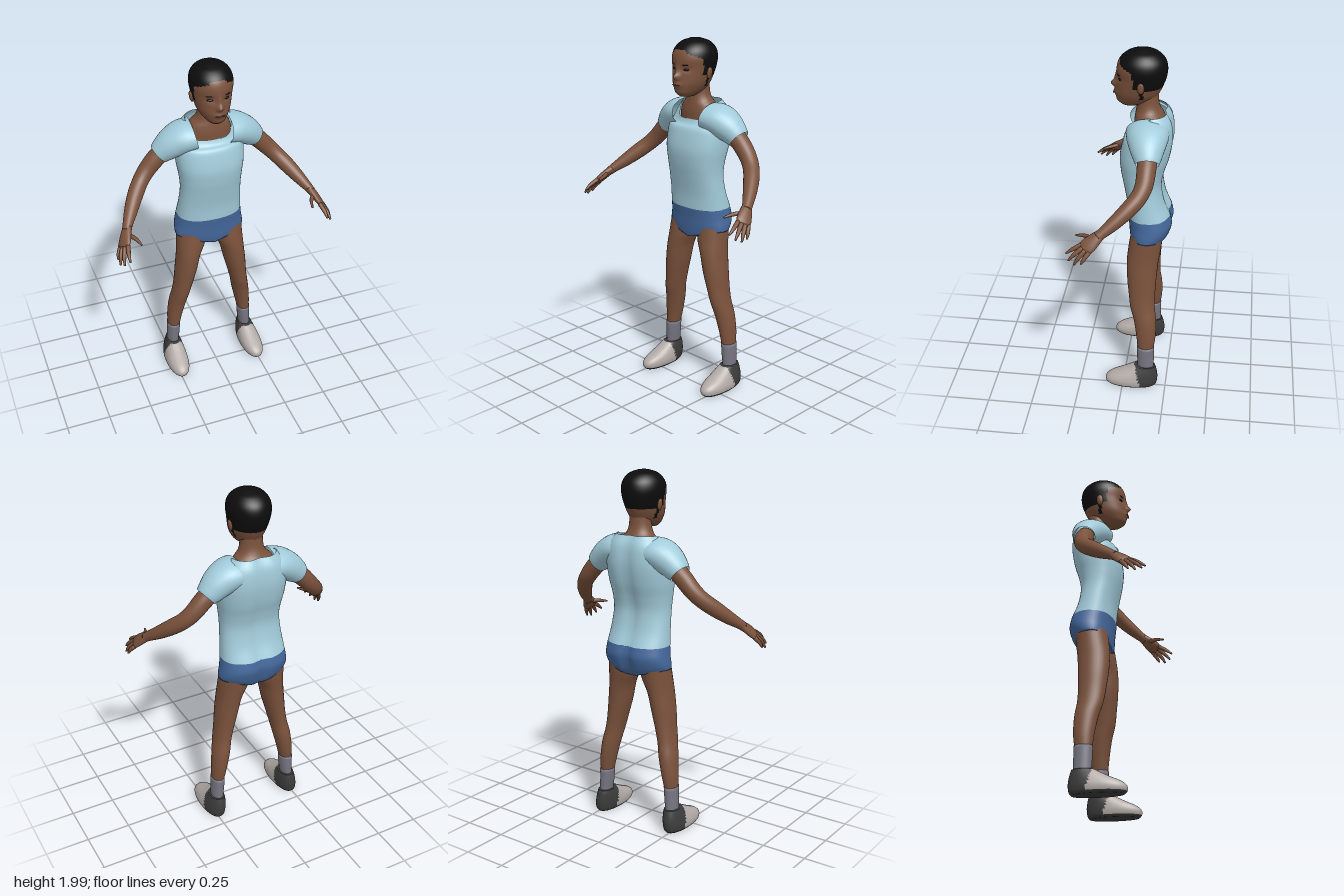
import * as THREE from 'three';

const V = (x, y, z) => new THREE.Vector3(x, y, z);
const mat = (name, color, side = THREE.FrontSide) => {
  const m = new THREE.MeshStandardMaterial({ color, side });
  m.name = name;
  return m;
};
const smooth = (a, b, x) => THREE.MathUtils.smoothstep(x, a, b);
const bump = (x, w) => Math.exp(-(x * x) / (w * w));

// Smooth skin through elliptical sections [x, y, z, sideRadius, refRadius].
// axis: fixed ring normal (else follows the path); ref: direction of refRadius.
// pick(centre) chooses the material index of a face; deform(v) moves a vertex.
function sweep(rows, { axis, ref = V(0, 0, 1), seg = 28, steps = 24, sq = 1, capStart, capEnd, deform, pick } = {}) {
  const path = new THREE.CatmullRomCurve3(rows.map(r => V(r[0], r[1], r[2])), false, 'catmullrom', 0.5);
  const size = new THREE.CatmullRomCurve3(rows.map(r => V(r[3], r[4], 0)), false, 'catmullrom', 0.5);
  const rings = [];
  for (let j = 0; j <= steps; j++) rings.push([j / steps, 1]);
  if (capStart) rings.unshift([0, 0]);
  if (capEnd) rings.push([1, 0]);
  const soft = c => Math.sign(c) * Math.abs(c) ** sq;
  const verts = [];
  for (const [t, k] of rings) {
    const c = path.getPoint(t), r = size.getPoint(t);
    const T = axis || path.getTangent(t);
    const N = ref.clone().addScaledVector(T, -ref.dot(T)).normalize();
    const B = T.clone().cross(N);
    for (let i = 0; i < seg; i++) {
      const a = (i / seg) * Math.PI * 2;
      const v = c.clone().addScaledVector(B, soft(Math.sin(a)) * r.x * k).addScaledVector(N, soft(Math.cos(a)) * r.y * k);
      if (deform) deform(v);
      verts.push(v);
    }
  }
  const lists = [];
  for (let j = 0; j < rings.length - 1; j++) for (let i = 0; i < seg; i++) {
    const n = (i + 1) % seg, a = j * seg + i, b = j * seg + n, c = b + seg, d = a + seg;
    const mid = verts[a].clone().add(verts[b]).add(verts[c]).add(verts[d]).multiplyScalar(0.25);
    const m = pick ? pick(mid) : 0;
    (lists[m] ||= []).push(a, b, c, a, c, d);
  }
  const g = new THREE.BufferGeometry().setFromPoints(verts);
  g.setIndex(lists.flat());
  let start = 0;
  if (pick) lists.forEach((l, m) => { g.addGroup(start, l.length, m); start += l.length; });
  g.computeVertexNormals();
  return g;
}

// Upright form from level sections [y, centreX, halfWidth, frontZ, backZ].
const upright = (rows, opts = {}) => sweep(
  rows.map(([y, x, w, f, b]) => [x, y, (f + b) / 2, w, (f - b) / 2]), { axis: V(0, 1, 0), ...opts });

export function createModel() {
  const model = new THREE.Group();
  const skin = mat('skin brown', 0x7b523c), shirt = mat('shirt light blue', 0xa2cbda, THREE.DoubleSide);
  const blue = mat('shorts blue', 0x44689c, THREE.DoubleSide), hair = mat('hair black', 0x0d0d0d);
  const sock = mat('sock grey', 0x777682), shoe = mat('shoe light grey', 0xb3aba7);
  const dark = mat('shoe dark grey', 0x3b3b3c), lip = mat('lip brown', 0x5f3a2d);
  const eye = mat('eye dark', 0x17110f);
  const add = (name, geo, m) => {
    const mesh = new THREE.Mesh(geo, m);
    mesh.name = name;
    model.add(mesh);
    return mesh;
  };
  const blob = (name, m, p, s) => {
    const b = add(name, new THREE.SphereGeometry(1, 20, 14), m);
    b.position.set(...p);
    b.scale.set(...s);
    return b;
  };

  // Shirt body, with a spine groove and a scooped neckline
  add('shirtBody', upright([
    [1.065, 0, .186, -.003, -.247], [1.15, 0, .178, .002, -.213], [1.25, 0, .171, .02, -.197],
    [1.33, 0, .176, .035, -.21], [1.41, 0, .187, .04, -.234], [1.5, 0, .19, .022, -.25],
    [1.57, 0, .18, .0, -.25], [1.62, 0, .162, -.015, -.24], [1.665, 0, .125, -.03, -.215],
  ], {
    seg: 48, steps: 40, sq: .86, deform: v => {
      if (v.z < -.15) v.z += .017 * bump(v.x, .04);
      v.y -= .1 * smooth(1.5, 1.665, v.y) * smooth(-.14, -.04, v.z);
    },
  }), shirt);

  // Shorts with a hem that drops toward the crotch
  add('shorts', upright([
    [.94, 0, .2, -.022, -.215], [.97, 0, .2, -.015, -.24], [1.01, 0, .194, -.01, -.257], [1.067, 0, .186, -.003, -.248],
  ], {
    seg: 48, steps: 14, sq: .88, capStart: true, deform: v => {
      v.y -= .05 * (1 - smooth(.94, 1.01, v.y)) * Math.max(0, 1 - Math.abs(v.x) / .19);
      if (v.z < -.15) v.z += .025 * bump(v.x, .03);
    },
  }), blue);

  // Neck and upper chest
  add('neck', upright([
    [1.54, 0, .13, -.035, -.2], [1.6, 0, .125, -.035, -.205], [1.64, 0, .108, -.04, -.195],
    [1.67, 0, .077, -.045, -.178], [1.71, 0, .063, -.05, -.165], [1.78, 0, .06, -.05, -.16],
  ]), skin);

  // Head with nose, brow and lips raised, hair as its own faces
  const hairline = v => {
    if (v.z > .035) return 1.945 - .25 * Math.max(0, Math.abs(v.x) - .05);
    if (v.z > -.035) return 1.9 + (v.z + .035) * .4;
    if (v.z > -.07) return 1.815;
    return 1.80 - .055 * smooth(-.09, -.16, v.z);
  };
  add('head', upright([
    [1.695, 0, .034, .03, -.06], [1.715, 0, .056, .055, -.115], [1.74, 0, .074, .062, -.15],
    [1.77, 0, .089, .064, -.17], [1.81, 0, .1, .06, -.188], [1.85, 0, .108, .056, -.202],
    [1.9, 0, .115, .057, -.208], [1.945, 0, .105, .042, -.196], [1.98, 0, .075, .004, -.16], [1.998, 0, .03, -.045, -.11],
  ], {
    seg: 72, steps: 64, capStart: true, capEnd: true, pick: v => (v.y > hairline(v) ? 1 : 0), deform: v => {
      if (v.z < .02) return;
      v.z += .026 * bump(v.x, .017) * bump(v.y - 1.805, .018) + .012 * bump(v.x, .012) * bump(v.y - 1.84, .03);
      v.z += .01 * bump(v.x, .028) * bump(v.y - 1.762, .014);
      v.z -= .008 * bump(Math.abs(v.x) - .045, .02) * bump(v.y - 1.845, .014);
    },
  }), [skin, hair]);
  blob('mouth', lip, [0, 1.761, .071], [.028, .004, .005]);

  for (const s of [1, -1]) {
    const side = s > 0 ? 'left' : 'right';
    // Face details and ears
    blob(side + 'Eye', eye, [s * .046, 1.844, .037], [.016, .006, .006]).rotation.y = s * .42;
    blob(side + 'Eyebrow', eye, [s * .047, 1.868, .043], [.02, .003, .004]).rotation.y = s * .42;
    blob(side + 'Ear', skin, [s * .107, 1.822, -.078], [.01, .032, .019]).rotation.z = -s * .15;

    // Sleeve and arm
    const limb = (rows, opts = {}) => sweep(rows.map(([x, ...r]) => [s * x, ...r]), opts);
    add(side + 'Sleeve', limb([
      [.09, 1.58, -.115, .078, .115], [.15, 1.568, -.12, .083, .11], [.205, 1.538, -.125, .08, .094],
      [.25, 1.503, -.13, .069, .075], [.277, 1.479, -.132, .058, .061],
    ]), shirt);
    add(side + 'Arm', limb([
      [.25, 1.497, -.13, .05, .052], [.3, 1.452, -.13, .05, .05], [.35, 1.398, -.124, .047, .047],
      [.395, 1.35, -.1, .044, .044], [.44, 1.302, -.052, .043, .042], [.485, 1.25, .01, .036, .036],
      [.522, 1.207, .068, .026, .028], [.535, 1.19, .09, .023, .028],
    ], { steps: 32, capStart: true, capEnd: true }), skin);

    // Palm and fingers
    const across = V(s * .45, -.35, -.85);
    add(side + 'Palm', limb([
      [.525, 1.203, .075, .022, .026], [.542, 1.18, .103, .021, .035], [.56, 1.152, .135, .018, .042], [.572, 1.133, .158, .012, .037],
    ], { ref: across, steps: 14, capStart: true, capEnd: true }), skin);
    const fingers = {
      Index: [[.552, 1.15, .17], [.562, 1.125, .215], [.565, 1.1, .25]],
      Middle: [[.567, 1.141, .163], [.585, 1.107, .205], [.593, 1.075, .235]],
      Ring: [[.577, 1.133, .148], [.598, 1.095, .182], [.607, 1.06, .203]],
      Pinky: [[.582, 1.127, .128], [.602, 1.095, .152], [.609, 1.068, .167]],
      Thumb: [[.535, 1.178, .115], [.505, 1.175, .16], [.488, 1.165, .21]],
    };
    for (const [name, [a, b, c]] of Object.entries(fingers)) add(side + name + 'Finger', limb(
      [[...a, .013, .013], [...b, .0105, .0105], [...c, .005, .005]],
      { seg: 10, steps: 8, capStart: true, capEnd: true }), skin);

    // Leg and sock
    add(side + 'Leg', upright([
      [.25, s * .228, .035, -.085, -.175], [.34, s * .217, .044, -.075, -.186], [.44, s * .2, .05, -.058, -.186],
      [.52, s * .184, .05, -.036, -.176], [.6, s * .168, .054, -.025, -.175], [.7, s * .15, .063, -.014, -.18],
      [.8, s * .133, .069, -.011, -.188], [.88, s * .113, .084, -.018, -.2], [.96, s * .103, .09, -.03, -.21],
    ], { steps: 36 }), skin);
    add(side + 'Sock', upright([
      [.1, s * .234, .034, -.085, -.18], [.14, s * .234, .034, -.085, -.18], [.2, s * .23, .037, -.082, -.18], [.27, s * .227, .039, -.08, -.181],
    ], { capEnd: true, steps: 12 }), sock);

    // Shoe: light front, dark heel and sole
    add(side + 'Shoe', upright([
      [.006, s * .243, .05, .085, -.185], [.02, s * .243, .061, .099, -.197], [.045, s * .242, .065, .1, -.202],
      [.07, s * .24, .062, .075, -.203], [.095, s * .238, .056, .022, -.2], [.118, s * .236, .049, -.025, -.195],
      [.14, s * .235, .041, -.065, -.188],
    ], {
      seg: 56, steps: 36, sq: .92, capStart: true, capEnd: true,
      pick: v => (v.y < .02 || v.z < -.105 + .25 * (v.y - .02) ? 1 : 0),
    }), [shoe, dark]);
  }
  return model;
}
